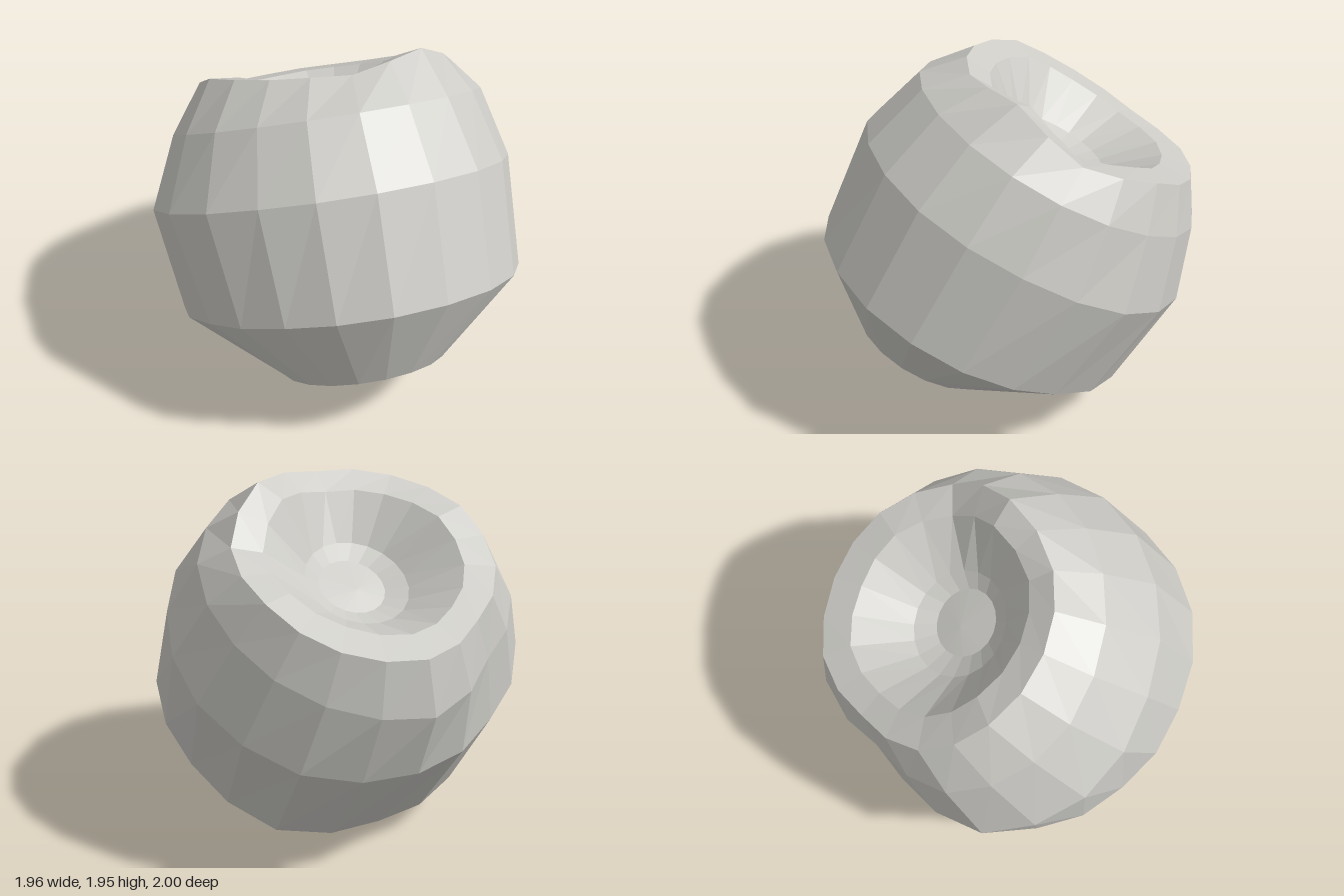
import * as THREE from 'three';

const SIDES = 20;
// Tilted core axis of the fruit and two directions across it
const ORIGIN = new THREE.Vector3(-0.09, 0.6, 0.2);
const AXIS = new THREE.Vector3(0.156, 0.866, -0.476).normalize();
const SIDE = new THREE.Vector3(1, 0, 0).addScaledVector(AXIS, -AXIS.x).normalize();
const FRONT = new THREE.Vector3().crossVectors(SIDE, AXIS);

// Value around a ring: one number, or ten samples blended every 36 degrees
function around(values, j) {
  if (!Array.isArray(values)) return values;
  const n = values.length;
  const f = ((j % SIDES) / SIDES) * n;
  const k = Math.floor(f);
  return THREE.MathUtils.lerp(values[k], values[(k + 1) % n], f - k);
}

// Point on a ring: t along the axis, radius r, lift along the axis, shift in x and z
function ringPoint({ t, r, lift = 0, dx = 0, dz = 0 }, j) {
  const a = (j / SIDES) * Math.PI * 2;
  const radius = around(r, j);
  const p = ORIGIN.clone().addScaledVector(AXIS, t + around(lift, j))
    .addScaledVector(SIDE, radius * Math.cos(a))
    .addScaledVector(FRONT, radius * Math.sin(a));
  p.x += dx;
  p.z += dz;
  return p;
}

// Faceted skin through a list of rings, ordered from the base upwards
function skin(rings) {
  const pos = [];
  const tri = (...pts) => pts.forEach((p) => pos.push(p.x, p.y, p.z));
  for (let i = 0; i < rings.length - 1; i++) {
    const [low, high] = [rings[i], rings[i + 1]];
    for (let j = 0; j < SIDES; j++) {
      const a = ringPoint(low, j), b = ringPoint(low, j + 1);
      const c = ringPoint(high, j), d = ringPoint(high, j + 1);
      if (low.r !== 0) tri(a, c, b);
      if (high.r !== 0) tri(b, c, d);
    }
  }
  const g = new THREE.BufferGeometry();
  g.setAttribute('position', new THREE.Float32BufferAttribute(pos, 3));
  g.computeVertexNormals();
  return g;
}

export function createModel() {
  const group = new THREE.Group();
  group.name = 'fruit';
  const grey = new THREE.MeshStandardMaterial({ color: 0xcccbc6, flatShading: true });
  grey.name = 'warm grey';

  // Samples run from the left side (+x) through front, right and back
  const tip = { t: -0.53, r: 0, dx: -0.02 };
  const baseEdge = {
    t: -0.4, dx: -0.01, dz: 0.04,
    r: [0.44, 0.455, 0.465, 0.465, 0.465, 0.46, 0.46, 0.46, 0.5, 0.46],
  };
  const lowerEdge = { t: 0, r: [0.92, 0.935, 0.935, 0.905, 0.855, 0.87, 0.965, 0.91, 0.885, 0.97] };
  const belly = { t: 0.61, r: [0.995, 0.955, 0.955, 0.935, 0.93, 0.99, 1.02, 0.935, 0.965, 1.015] };
  const shoulder = { t: 0.99, r: [0.85, 0.855, 0.835, 0.815, 0.805, 0.825, 0.84, 0.765, 0.89, 0.87] };
  const wave = [0, -0.058, 0.028, -0.05, -0.015, 0.035, 0.01, 0, 0.01, 0];
  const rimOuter = {
    t: 1.207, lift: wave, dx: 0.04, dz: -0.01,
    r: [0.68, 0.69, 0.68, 0.66, 0.665, 0.68, 0.68, 0.635, 0.69, 0.685],
  };
  const rimInner = { t: 1.195, lift: wave, dx: 0.04, r: [0.52, 0.52, 0.52, 0.51, 0.51, 0.52, 0.52, 0.5, 0.53, 0.51] };

  const parts = {
    baseTip: [tip, baseEdge],
    underside: [baseEdge, lowerEdge],
    body: [lowerEdge, belly, shoulder, rimOuter],
    rim: [rimOuter, rimInner],
    hollow: [
      rimInner,
      { t: 0.99, r: 0.28, dx: 0.03 },
      { t: 0.95, r: 0.18, dx: 0.035, dz: 0.02 },
      { t: 0.94, r: 0, dx: 0.035, dz: -0.02 },
    ],
  };
  for (const [name, rings] of Object.entries(parts)) {
    const mesh = new THREE.Mesh(skin(rings), grey);
    mesh.name = name;
    group.add(mesh);
  }
  return group;
}
